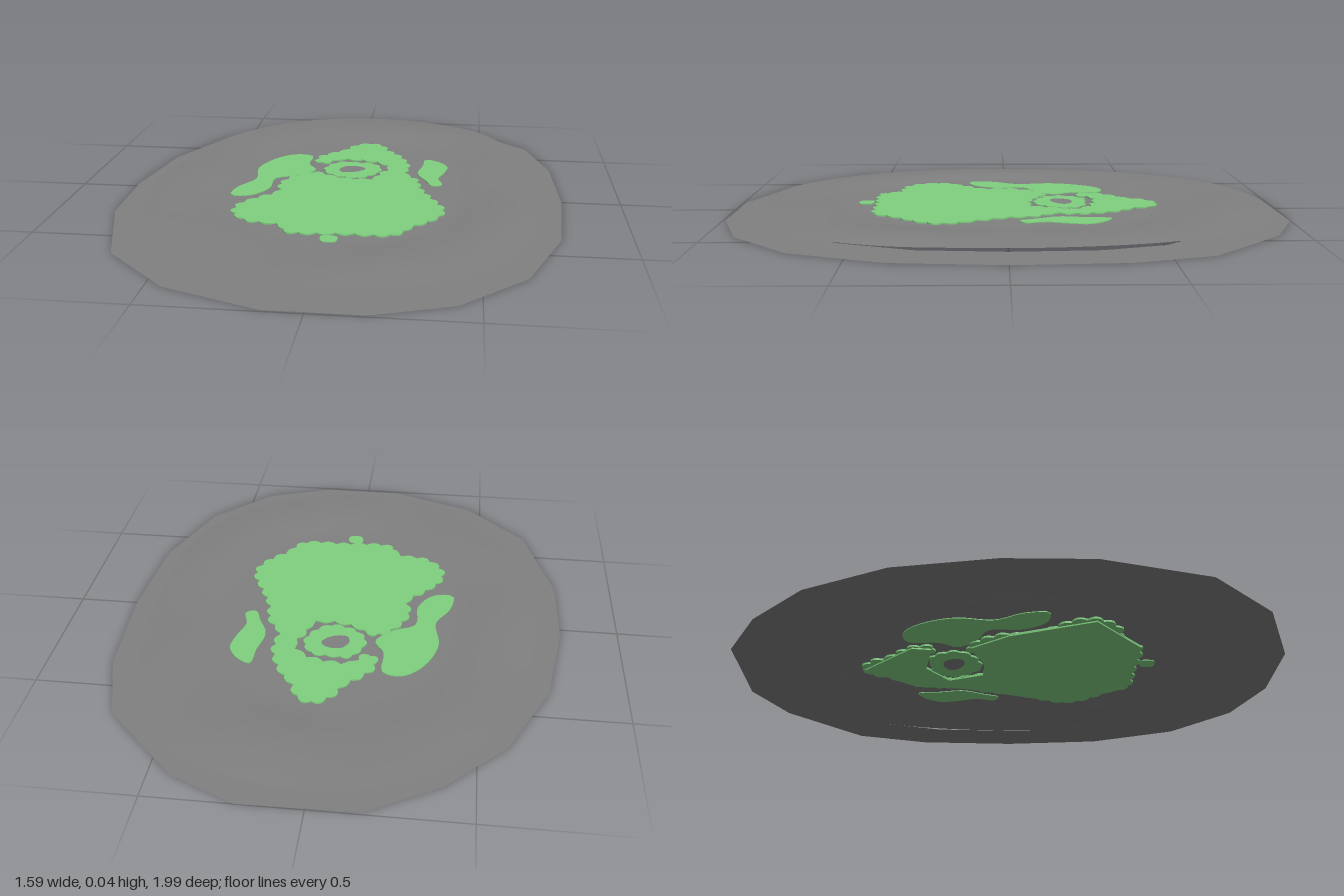
import * as THREE from 'three';

const V = (list) => list.map(([x, z]) => new THREE.Vector2(x, -z));
const BASIN = 0.027;

// Smooth closed outline through a few points
function smooth(list, n = 80) {
  const c = new THREE.CatmullRomCurve3(list.map(([x, z]) => new THREE.Vector3(x, 0, z)), true);
  return c.getSpacedPoints(n).slice(0, n).map((p) => [p.x, p.z]);
}

// Closed outline with a small scalloped edge
function scallop(list, bumps, depth, n = bumps * 6) {
  const p = smooth(list, n);
  return p.map(([x, z], i) => {
    const a = p[(i + n - 1) % n], b = p[(i + 1) % n];
    const dx = b[0] - a[0], dz = b[1] - a[1], l = Math.hypot(dx, dz) || 1;
    const s = depth * (Math.abs(Math.sin((i / n) * bumps * Math.PI)) - 0.5);
    return [x + (dz / l) * s, z - (dx / l) * s];
  });
}

function outlineShape(outer, hole) {
  const s = new THREE.Shape(V(outer));
  if (hole) s.holes.push(new THREE.Path(V(hole)));
  return s;
}

// Horizontal plate between two heights
function plate(name, outer, hole, y0, y1, mat) {
  const g = new THREE.ExtrudeGeometry(outlineShape(outer, hole), { depth: y1 - y0, bevelEnabled: false });
  g.rotateX(-Math.PI / 2).translate(0, y0, 0);
  const m = new THREE.Mesh(g, mat);
  m.name = name;
  return m;
}

// Gently rolling ground sheet, flat in the middle
function groundGeometry(edge) {
  const rings = 24, n = edge.length, pos = [], idx = [];
  for (let r = 0; r <= rings; r++) {
    const t = r / rings;
    for (let i = 0; i < n; i++) {
      const a = (i / n) * Math.PI * 2;
      const k = Math.max(0, (t - 0.62) / 0.38);
      const y = BASIN + 0.003 * k + Math.sin(k * Math.PI) * (0.007 + 0.003 * Math.sin(a * 3 + 1) + 0.002 * Math.sin(a * 7));
      pos.push(edge[i][0] * t, y, edge[i][1] * t);
      if (r < rings) {
        const j = (i + 1) % n, p = r * n + i, q = r * n + j;
        idx.push(p, q + n, p + n);
        if (r > 0) idx.push(p, q, q + n);
      }
    }
  }
  const g = new THREE.BufferGeometry();
  g.setAttribute('position', new THREE.Float32BufferAttribute(pos, 3));
  // outline runs clockwise seen from above, so reverse to face up
  for (let i = 0; i < idx.length; i += 3) [idx[i + 1], idx[i + 2]] = [idx[i + 2], idx[i + 1]];
  g.setIndex(idx);
  g.computeVertexNormals();
  if (g.attributes.normal.getY(n * 5) < 0) {
    idx.reverse();
    g.setIndex(idx);
    g.computeVertexNormals();
  }
  return g;
}

export function createModel() {
  const group = new THREE.Group();
  const grey = new THREE.MeshStandardMaterial({ color: 0x808080, side: THREE.DoubleSide });
  grey.name = 'stone grey';
  const green = new THREE.MeshStandardMaterial({ color: 0x80d080 });
  green.name = 'grass green';

  // Flat outer rim with a large opening
  const rim = [[0.21, -1], [0.43, -0.9], [0.69, -0.64], [0.77, -0.37], [0.79, 0], [0.76, 0.37], [0.64, 0.69],
    [0.43, 0.9], [0.18, 0.99], [-0.13, 0.99], [-0.45, 0.87], [-0.68, 0.64], [-0.79, 0.27], [-0.795, -0.03],
    [-0.74, -0.37], [-0.6, -0.66], [-0.4, -0.86], [-0.17, -0.99]];
  const rimGeo = new THREE.ShapeGeometry(outlineShape(rim, rim.map(([x, z]) => [x * 0.8, z * 0.8])));
  rimGeo.rotateX(-Math.PI / 2);
  const rimMesh = new THREE.Mesh(rimGeo, grey);
  rimMesh.name = 'outerRim';

  // Raised ground
  const edge = smooth([[0.05, -0.95], [0.29, -0.9], [0.5, -0.77], [0.63, -0.51], [0.695, -0.18], [0.7, 0.08],
    [0.67, 0.4], [0.55, 0.66], [0.32, 0.83], [0, 0.9], [-0.32, 0.83], [-0.55, 0.61], [-0.67, 0.34],
    [-0.705, 0.03], [-0.67, -0.29], [-0.57, -0.58], [-0.39, -0.81], [-0.18, -0.92]], 96);
  const ground = new THREE.Mesh(groundGeometry(edge), grey);
  ground.name = 'ground';

  // Main lawn with a notch curling round the small island
  const lawn = [[0.045, -0.55], [0.1, -0.52], [0.125, -0.46], [0.165, -0.41], [0.2, -0.34], [0.22, -0.26],
    [0.215, -0.17], [0.26, -0.1], [0.28, 0], [0.315, 0.08], [0.37, 0.22], [0.335, 0.31], [0.27, 0.38],
    [0.215, 0.46], [0.06, 0.47], [-0.14, 0.47], [-0.18, 0.41], [-0.29, 0.385], [-0.355, 0.31], [-0.35, 0.23],
    [-0.3, 0.16], [-0.235, 0.08], [-0.245, 0], [-0.2, -0.1], [-0.13, -0.15], [-0.06, -0.11], [0, -0.09],
    [0.09, -0.095], [0.12, -0.17], [0.145, -0.23], [0.11, -0.29], [0.03, -0.32], [-0.065, -0.32],
    [-0.1, -0.275], [-0.14, -0.275], [-0.145, -0.34], [-0.1, -0.4], [-0.05, -0.45], [-0.02, -0.51]];
  const lawnBase = [[0.045, -0.54], [0.2, -0.36], [0.22, -0.17], [0.36, 0.23], [0.21, 0.46], [-0.15, 0.47],
    [-0.35, 0.3], [-0.24, 0], [-0.14, -0.14], [0, -0.09], [0.09, -0.1], [0.14, -0.23], [0.03, -0.31],
    [-0.13, -0.28], [-0.14, -0.35]];

  // Small island with a hollow centre
  const island = [[-0.095, -0.23], [-0.05, -0.29], [0.01, -0.29], [0.08, -0.28], [0.115, -0.22], [0.09, -0.15],
    [0.03, -0.105], [-0.06, -0.13], [-0.1, -0.18]];
  const hollow = smooth([[-0.045, -0.2], [-0.02, -0.24], [0.03, -0.24], [0.055, -0.215], [0.03, -0.18],
    [-0.01, -0.165], [-0.035, -0.17]], 28);

  // Loose grass patches
  const patches = {
    rightPatch: [[-0.235, -0.375], [-0.175, -0.36], [-0.17, -0.25], [-0.135, -0.185], [-0.19, -0.115],
      [-0.27, -0.07], [-0.275, 0.05], [-0.33, 0.13], [-0.4, 0.135], [-0.395, 0.05], [-0.345, -0.05],
      [-0.36, -0.18], [-0.33, -0.28], [-0.285, -0.345]],
    leftPatch: [[0.285, -0.36], [0.33, -0.34], [0.37, -0.28], [0.36, -0.2], [0.34, -0.13], [0.355, -0.06],
      [0.32, -0.045], [0.295, -0.1], [0.26, -0.18], [0.275, -0.28]],
    frontPatch: [[-0.02, 0.49], [0.03, 0.49], [0.03, 0.535], [-0.015, 0.535]],
  };

  // The hollow is left open through the ground colour
  group.add(
    rimMesh, ground,
    plate('lawnBase', lawnBase, null, 0.015, 0.024, green),
    plate('lawn', scallop(lawn, 56, 0.016), null, 0.02, 0.032, green),
    plate('island', scallop(island, 12, 0.01), hollow, 0.02, 0.031, green),
  );
  for (const [name, pts] of Object.entries(patches)) {
    group.add(plate(name, smooth(pts, 60), null, BASIN - 0.003, BASIN + 0.003, green));
  }
  return group;
}
